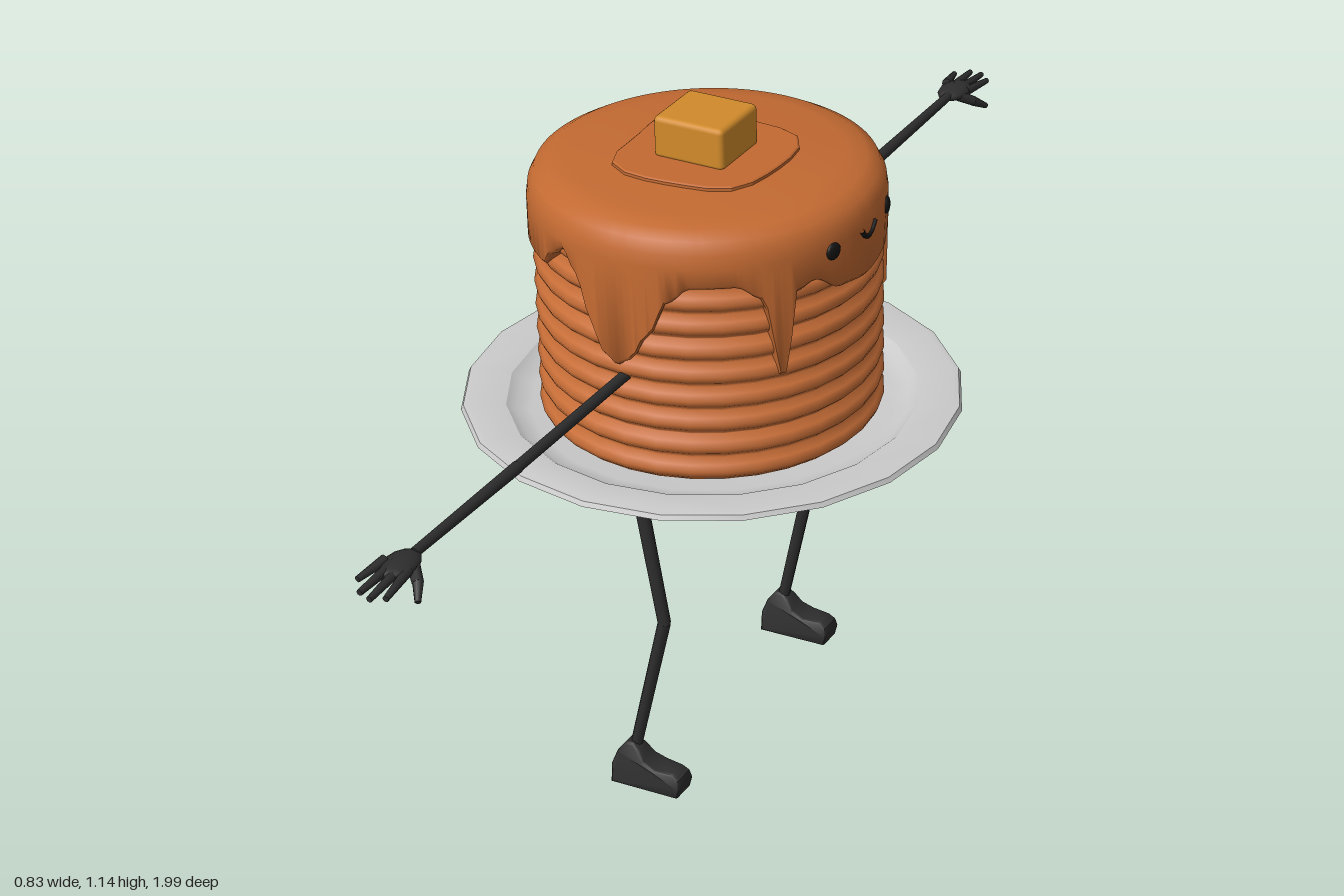
import * as THREE from 'three';
import { toCreasedNormals } from 'three/addons/utils/BufferGeometryUtils.js';
import { RoundedBoxGeometry } from 'three/addons/geometries/RoundedBoxGeometry.js';

const V = (x, y, z) => new THREE.Vector3(x, y, z);

function material(name, color, side = THREE.FrontSide) {
  const m = new THREE.MeshStandardMaterial({ color, side });
  m.name = name;
  return m;
}

// Lower edge of the syrup: degrees around from +x towards +z, height
const DRIPS = [
  [0, 0.912], [14, 0.92], [25, 0.95], [32, 0.94], [34, 0.86], [37, 0.782], [40, 0.86], [43, 0.94],
  [52, 0.965], [66, 0.965], [73, 0.94], [80, 0.875], [86, 0.83], [91, 0.815], [96, 0.83], [100, 0.875],
  [106, 0.95], [112, 0.985], [118, 0.965], [125, 0.932], [145, 0.93], [155, 0.955], [163, 0.955],
  [167, 0.9], [172, 0.82], [177, 0.9], [183, 0.955], [198, 0.97], [215, 0.935], [235, 0.93],
  [250, 0.975], [257, 0.95], [264, 0.865], [270, 0.815], [276, 0.865], [283, 0.94], [295, 0.965],
  [310, 0.955], [317, 0.94], [320, 0.86], [323, 0.782], [326, 0.86], [329, 0.94], [336, 0.95],
  [346, 0.92], [360, 0.912],
];

function dripHeight(deg) {
  let i = 0;
  while (i < DRIPS.length - 2 && DRIPS[i + 1][0] < deg) i++;
  const [a, ya] = DRIPS[i], [b, yb] = DRIPS[i + 1];
  const t = THREE.MathUtils.smoothstep(deg, a, b);
  return ya + (yb - ya) * t;
}

function lathe(points, segments, crease) {
  const g = new THREE.LatheGeometry(points.map(([r, y]) => new THREE.Vector2(r, y)), segments);
  return crease ? toCreasedNormals(g, crease) : g;
}

export function createModel() {
  const pancakeMat = material('pancake', 0xc96f38);
  const syrupMat = material('syrup', 0xc36a32);
  const butterMat = material('butter', 0xd18b2b);
  const plateMat = material('plate grey', 0xcbcbcb);
  const darkMat = material('dark limbs', 0x2d2d2d);
  const faceMat = material('face black', 0x141414);

  const body = new THREE.Group();
  body.name = 'body';
  const add = (name, geometry, mat, parent = body) => {
    const mesh = new THREE.Mesh(geometry, mat);
    mesh.name = name;
    parent.add(mesh);
    return mesh;
  };
  // Tapered rod between two points
  const rod = (name, a, b, ra, rb, parent) => {
    const dir = b.clone().sub(a);
    const mesh = add(name, new THREE.CylinderGeometry(rb, ra, dir.length(), 8), darkMat, parent);
    mesh.position.copy(a).add(b).multiplyScalar(0.5);
    mesh.quaternion.setFromUnitVectors(V(0, 1, 0), dir.normalize());
    return mesh;
  };

  // Plate
  add('plate', lathe([
    [0, 0.587], [0.305, 0.587], [0.33, 0.598], [0.345, 0.606], [0.4, 0.618], [0.414, 0.626],
    [0.41, 0.634], [0.4, 0.636], [0.34, 0.629], [0.325, 0.618], [0.3, 0.614], [0, 0.614],
  ], 20, 0.5), plateMat);

  // Stack of pancakes with rounded edges
  const count = 10, base = 0.615, step = 0.0425;
  const stack = [[0, base]];
  for (let i = 0; i < count; i++) {
    for (const [r, t] of [[0.267, 0.02], [0.278, 0.25], [0.283, 0.5], [0.278, 0.75], [0.267, 0.98]]) {
      stack.push([r, base + (i + t) * step]);
    }
  }
  stack.push([0, base + count * step]);
  add('pancakes', lathe(stack, 32, 1.0), pancakeMat);

  // Syrup cap, its lower rows pulled down into drips
  const cap = new THREE.LatheGeometry([
    [0.266, 0.8], [0.284, 0.8], [0.289, 0.81], [0.289, 1.0], [0.286, 1.022],
    [0.276, 1.042], [0.255, 1.054], [0.22, 1.06], [0, 1.063],
  ].map(([r, y]) => new THREE.Vector2(r, y)), 180);
  const p = cap.attributes.position;
  for (let i = 0; i < p.count; i++) {
    const y = p.getY(i);
    if (y > 0.9) continue;
    const deg = (THREE.MathUtils.radToDeg(Math.atan2(p.getZ(i), p.getX(i))) + 360) % 360;
    p.setY(i, dripHeight(deg) + (y - 0.8) * 0.6);
  }
  add('syrup', toCreasedNormals(cap, 0.9), syrupMat);

  // Pool of syrup under the butter
  const pool = new THREE.Shape();
  const rim = [];
  for (let i = 0; i < 24; i++) {
    const a = (i / 24) * Math.PI * 2;
    const c = Math.cos(a), s = Math.sin(a);
    const r = 0.126 / Math.pow(c ** 4 + s ** 4, 0.25) * (1 + 0.04 * Math.sin(3 * a + 1));
    rim.push(new THREE.Vector2(r * c, r * s));
  }
  pool.setFromPoints(rim);
  const poolMesh = add('syrupPool', new THREE.ExtrudeGeometry(pool, {
    depth: 0.006, bevelEnabled: true, bevelSize: 0.003, bevelThickness: 0.002, bevelSegments: 1,
  }), syrupMat);
  poolMesh.rotation.x = -Math.PI / 2;
  poolMesh.position.y = 1.06;

  // Butter pat
  add('butter', new RoundedBoxGeometry(0.126, 0.072, 0.118, 2, 0.009), butterMat).position.y = 1.099;

  // Face on the +x side
  for (const s of [1, -1]) {
    const eye = add(s > 0 ? 'leftEye' : 'rightEye', new THREE.SphereGeometry(0.0145, 14, 10), faceMat);
    eye.scale.x = 0.4;
    eye.position.set(0.275, 0.99, s * 0.09);
    eye.rotation.y = -s * 0.32;
  }
  const smile = new THREE.CatmullRomCurve3([-2, -1, 0, 1, 2].map((t) =>
    V(0.289, 0.98 + 0.0045 * t * t, t * 0.0115)));
  add('smile', new THREE.TubeGeometry(smile, 14, 0.0045, 6), faceMat);

  for (const s of [1, -1]) {
    const side = s > 0 ? 'front' : 'back';

    // Arm, elbow and hand reaching outwards along z
    const arm = new THREE.Group();
    arm.name = side + 'Arm';
    body.add(arm);
    const shoulder = V(0, 0.79, s * 0.26), elbow = V(0.002, 0.793, s * 0.59), wrist = V(0, 0.795, s * 0.87);
    rod('upperArm', shoulder, elbow, 0.009, 0.009, arm);
    rod('forearm', elbow, wrist, 0.01, 0.008, arm);
    const palm = add('palm', new THREE.SphereGeometry(1, 12, 8), darkMat, arm);
    palm.scale.set(0.027, 0.012, 0.042);
    palm.position.set(-0.003, 0.793, s * 0.902);
    [[-0.023, -0.034, 0.965], [-0.009, -0.014, 0.99], [0.004, 0.006, 0.995], [0.016, 0.024, 0.98]]
      .forEach(([x0, x1, z]) => {
        const y = 0.795 - 0.2 * x0;
        rod('finger', V(x0, y, s * 0.91), V(x1, y - 0.006, s * z), 0.0085, 0.005, arm);
      });
    rod('thumb', V(0.012, 0.79, s * 0.89), V(0.032, 0.776, s * 0.91), 0.01, 0.009, arm);
    rod('thumbTip', V(0.031, 0.777, s * 0.908), V(0.046, 0.76, s * 0.933), 0.009, 0.005, arm);

    // Leg with a bent knee
    const leg = new THREE.Group();
    leg.name = side + 'Leg';
    body.add(leg);
    const hip = V(0, 0.6, s * 0.252), knee = V(0.045, 0.33, s * 0.252), ankle = V(-0.016, 0.065, s * 0.258);
    rod('thigh', hip, knee, 0.012, 0.011, leg);
    rod('shin', knee, ankle, 0.011, 0.01, leg);
    const joint = add('knee', new THREE.SphereGeometry(0.011, 8, 6), darkMat, leg);
    joint.position.copy(knee);

    // Shoe: side profile, narrowed towards the ankle
    const profile = new THREE.Shape([
      [-0.045, 0], [0.078, 0], [0.083, 0.018], [0.08, 0.034], [0.068, 0.042], [0.035, 0.042],
      [0.014, 0.05], [0.002, 0.068], [-0.01, 0.078], [-0.024, 0.076], [-0.038, 0.058], [-0.046, 0.035],
    ].map(([x, y]) => new THREE.Vector2(x, y)));
    const shoe = new THREE.ExtrudeGeometry(profile, {
      depth: 0.05, bevelEnabled: true, bevelSize: 0.004, bevelOffset: -0.004, bevelThickness: 0.007, bevelSegments: 2,
    });
    shoe.translate(0, 0, -0.025);
    const q = shoe.attributes.position;
    for (let i = 0; i < q.count; i++) {
      const toe = q.getX(i) > 0.06 ? 0.8 : 1;
      q.setZ(i, q.getZ(i) * toe * (1 - 0.6 * Math.max(0, q.getY(i) - 0.015) / 0.06));
    }
    add('shoe', toCreasedNormals(shoe, 0.7), darkMat, leg).position.set(-0.002, 0.007, s * 0.26);
  }

  // Whole figure leans slightly about the plate
  body.position.y = -0.6;
  const lean = new THREE.Group();
  lean.name = 'lean';
  lean.add(body);
  lean.position.y = 0.6;
  lean.rotation.set(-0.0175, 0, 0.035);
  const model = new THREE.Group();
  model.name = 'pancakeFigure';
  model.add(lean);
  return model;
}
